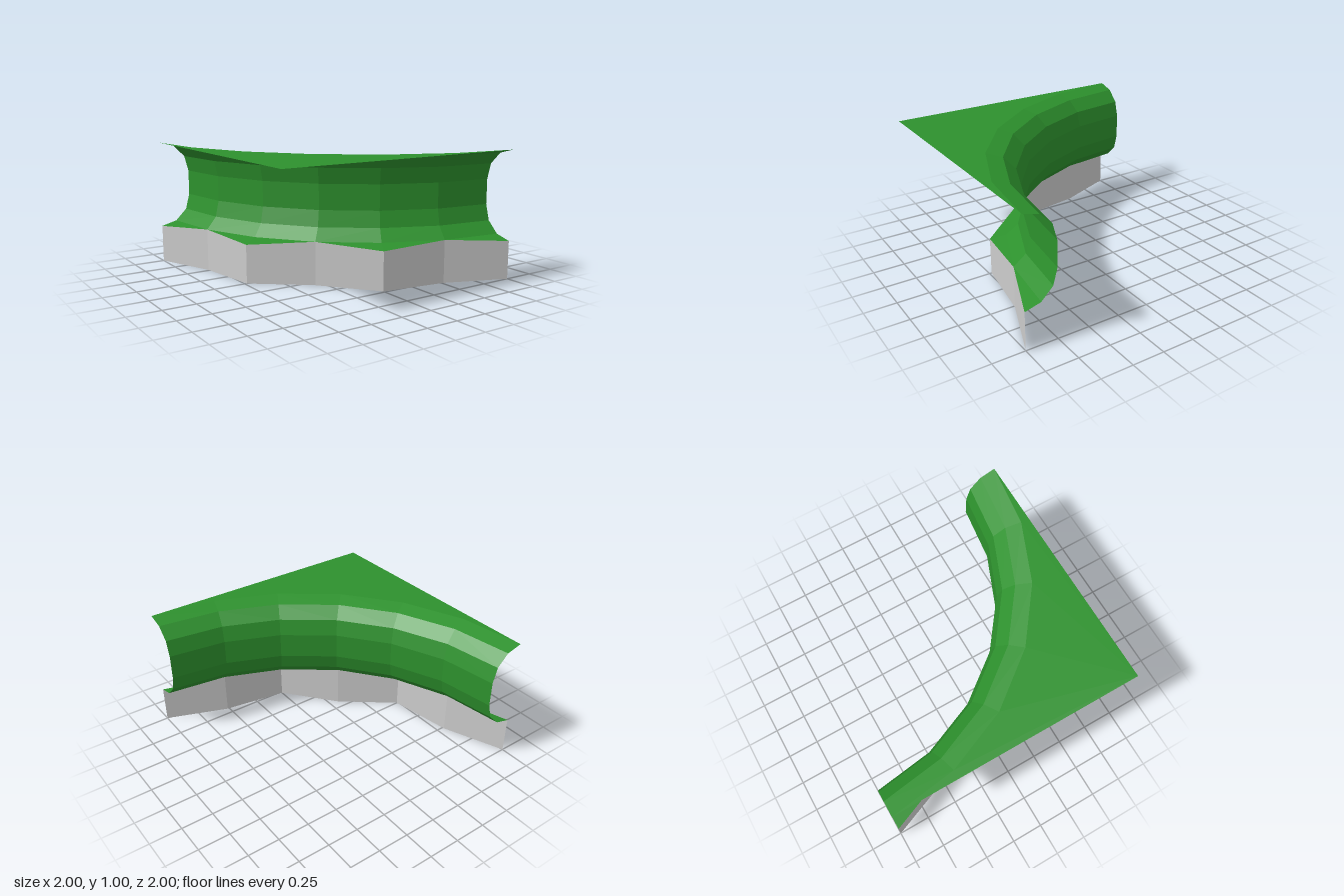
import * as THREE from 'three';

const STEPS = 6; // segments along the quarter turn

// Point on the curve: step i, radius r from the pivot at (1, -1), height y
function onArc(i, r, y) {
  const a = (i / STEPS) * Math.PI / 2;
  return new THREE.Vector3(1 - r * Math.cos(a), y, -1 + r * Math.sin(a));
}

// Faces between successive rows of points, skipping collapsed triangles
function stripTriangles(rows) {
  const tris = [];
  const add = (a, b, c) => {
    if (!a.equals(b) && !b.equals(c) && !a.equals(c)) tris.push(a, b, c);
  };
  for (let k = 0; k < rows.length - 1; k++) {
    const top = rows[k], low = rows[k + 1];
    for (let i = 0; i < STEPS; i++) {
      add(top[i], top[i + 1], low[i]);
      add(top[i + 1], low[i + 1], low[i]);
    }
  }
  return tris;
}

function facetedMesh(name, points, color) {
  const geometry = new THREE.BufferGeometry().setFromPoints(points);
  geometry.computeVertexNormals();
  const material = new THREE.MeshStandardMaterial({ color, flatShading: true, side: THREE.DoubleSide });
  const mesh = new THREE.Mesh(geometry, material);
  mesh.name = name;
  return mesh;
}

export function createModel() {
  const group = new THREE.Group();
  group.name = 'curvedBankCorner';
  const green = 0x2d912d;

  // Bank profile (radius, height): rounded lip, upright face, flared foot
  const profile = [];
  for (let k = 0; k <= 3; k++) {
    const t = k * Math.PI / 6;
    profile.push([2 - 0.25 * Math.sin(t), 0.75 + 0.25 * Math.cos(t)]);
  }
  for (let k = 3; k >= 1; k--) {
    const t = k * Math.PI / 6;
    profile.push([2 - 0.25 * Math.sin(t), 0.55 - 0.25 * Math.cos(t)]);
  }
  const steps = Array.from({ length: STEPS + 1 }, (_, i) => i);
  const rows = profile.map(([r, y]) => steps.map((i) => onArc(i, r, y)));

  // Zigzag foot: every second point stays on the row above
  const lastRow = rows[rows.length - 1];
  const foot = steps.map((i) => (i % 2 ? lastRow[i].clone() : onArc(i, 2, 0.3)));
  rows.push(foot);
  group.add(facetedMesh('grassBank', stripTriangles(rows), green));

  // Flat top, fanned from the outer corner to the lip
  const corner = new THREE.Vector3(-1, 1, 1);
  const fan = [];
  for (let i = 0; i < STEPS; i++) fan.push(corner, rows[0][i + 1], rows[0][i]);
  group.add(facetedMesh('grassTop', fan, green));

  // Zigzag wall below the foot
  const ground = foot.map((p) => new THREE.Vector3(p.x, 0, p.z));
  group.add(facetedMesh('baseWall', stripTriangles([foot, ground]), 0xcccccc));

  return group;
}
